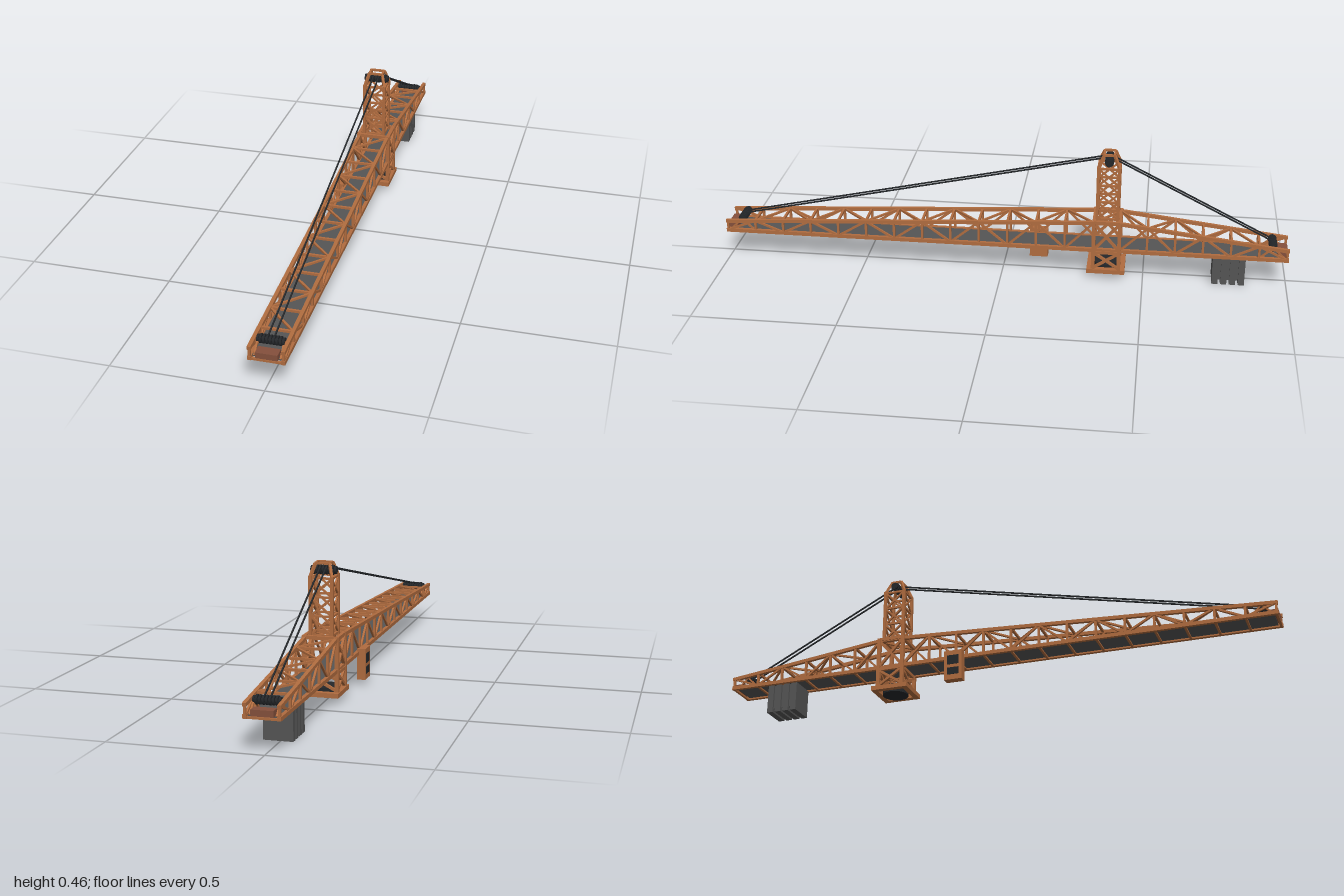
import * as THREE from 'three';
import { mergeGeometries } from 'three/addons/utils/BufferGeometryUtils.js';

const paint = (name, color) => Object.assign(new THREE.MeshStandardMaterial({ color }), { name });

export function createModel() {
  const orange = paint('orange steel', 0xb06c3f);
  const rust = paint('rust brown', 0x84503c);
  const grey = paint('dark grey', 0x555555);
  const black = paint('near black', 0x24272a);
  const root = new THREE.Group();
  root.name = 'craneTop';
  // Everything but the cab is symmetrical about this inner group's centre plane
  const crane = new THREE.Group();
  crane.name = 'crane';
  crane.position.x = 0.0075;
  root.add(crane);

  const V = (x, y, z) => new THREE.Vector3(x, y, z);
  const helper = new THREE.Object3D();
  // Straight bar between two points, square or flat in section
  const bar = (a, b, w, h = w) => {
    const g = new THREE.BoxGeometry(w, h, a.distanceTo(b));
    helper.position.copy(a);
    helper.lookAt(b);
    helper.position.lerpVectors(a, b, 0.5);
    helper.updateMatrix();
    return g.applyMatrix4(helper.matrix);
  };
  const box = (w, h, d, x, y, z) => new THREE.BoxGeometry(w, h, d).translate(x, y, z);
  const drum = (r, len, x, y, z, n = 14) =>
    new THREE.CylinderGeometry(r, r, len, n).rotateZ(Math.PI / 2).translate(x, y, z);
  const part = (name, geos, mat, parent = crane) => {
    const m = new THREE.Mesh(mergeGeometries(geos), mat);
    m.name = name;
    parent.add(m);
    return m;
  };

  const zF = -0.324, zB = -0.414, zM = -0.369;
  const low = 0.111, tip = 0.146, peak = 0.216, hx = 0.053;
  const topY = z => z > zF ? tip + (peak - tip) * (1 - z) / (1 - zF)
    : z < zB ? tip + (peak - tip) * (z + 1) / (zB + 1) : peak;

  // Chords of the jib and counter-jib
  const chords = [];
  for (const s of [-1, 1]) {
    chords.push(box(0.012, 0.013, 2, s * hx, low, 0));
    const p = [1, zF, zB, -1].map(z => V(s * hx, topY(z), z));
    for (let i = 0; i < 3; i++) chords.push(bar(p[i], p[i + 1], 0.012));
  }
  part('jibChords', chords, orange);

  // Lattice: posts, side diagonals, top braces and floor ribs
  const lattice = [];
  const stations = [];
  for (let i = 0; i <= 13; i++) stations.push(0.994 + (zF - 0.994) * i / 13);
  for (let i = 0; i <= 6; i++) stations.push(zB + (-0.994 - zB) * i / 6);
  stations.forEach((z, i) => {
    const y = topY(z);
    for (const s of [-1, 1]) lattice.push(bar(V(s * hx, low, z), V(s * hx, y, z), 0.008));
    lattice.push(box(2 * hx, 0.007, 0.008, 0, low - 0.003, z));
    if (Math.abs(z) < 0.9) lattice.push(box(2 * hx, 0.008, 0.008, 0, y, z));
    if (i === stations.length - 1) return;
    const z2 = stations[i + 1], y2 = topY(z2);
    for (const s of [-1, 1]) {
      const up = (i % 2 === 0) === (s > 0);
      lattice.push(bar(V(s * hx, up ? low : y, z), V(s * hx, up ? y2 : low, z2), 0.007));
    }
    if (Math.abs(z) < 0.9 && Math.abs(z2) < 0.95 && z !== zF) {
      const s = i % 2 ? 1 : -1;
      lattice.push(bar(V(s * hx, y, z), V(-s * hx, y2, z2), 0.007));
    }
  });
  part('jibLattice', lattice, orange);
  part('jibFloor', [box(0.094, 0.005, 1.97, 0, 0.1125, 0)], grey);

  // Sheaves on an axle, used at both jib ends and the mast head
  const sheaves = (name, y, z, r, axle) => {
    const geos = [drum(r * 0.45, axle, 0, y, z)];
    for (let i = -3; i <= 3; i++) geos.push(drum(r, 0.006, i * 0.0105, y, z));
    for (const s of [-1, 1]) geos.push(drum(r * 0.8, 0.007, s * (axle / 2 - 0.004), y, z));
    part(name, geos, black);
  };

  // Jib ends
  for (const s of [-1, 1]) {
    part('endBlock', [box(0.07, 0.02, 0.035, 0, 0.123, s * 0.98)], rust);
    const brackets = [];
    for (const t of [-1, 1]) {
      brackets.push(bar(V(t * 0.041, 0.113, s * 0.985), V(t * 0.041, 0.15, s * 0.945), 0.006));
      brackets.push(bar(V(t * 0.041, 0.113, s * 0.905), V(t * 0.041, 0.15, s * 0.945), 0.006));
    }
    part('sheaveBracket', brackets, orange);
    sheaves('endSheaves', 0.15, s * 0.945, 0.015, 0.088);
  }

  // Cross bracing between two posts a and b over a height range
  const cross = (a, b, y1, y2, w) => [
    bar(V(a[0], y1, a[1]), V(b[0], y2, b[1]), w),
    bar(V(a[0], y2, a[1]), V(b[0], y1, b[1]), w),
  ];
  const ring = (x, d) => [[x, zM + d], [x, zM - d], [-x, zM - d], [-x, zM + d]];

  // Lower tower section, with its base frame
  const tower = [];
  const feet = ring(0.056, 0.045);
  feet.forEach((a, i) => {
    const b = feet[(i + 1) % 4];
    tower.push(bar(V(a[0], 0.03, a[1]), V(a[0], 0.224, a[1]), 0.013));
    tower.push(bar(V(a[0], 0.104, a[1]), V(b[0], 0.104, b[1]), 0.011));
    tower.push(bar(V(a[0], 0.219, a[1]), V(b[0], 0.219, b[1]), 0.011));
    tower.push(...cross(a, b, 0.042, 0.102, 0.009));
    if (i % 2 === 0) tower.push(...cross(a, b, 0.112, 0.215, 0.009));
  });
  part('towerSection', tower, orange);
  const base = [];
  for (const s of [-1, 1]) {
    base.push(box(0.131, 0.016, 0.02, 0, 0.032, zM + s * 0.057));
    base.push(box(0.02, 0.0155, 0.114, s * 0.0555, 0.032, zM));
  }
  part('baseFrame', base, orange);
  part('slewingRing', [
    new THREE.CylinderGeometry(0.046, 0.046, 0.03, 16).translate(0, 0.035, zM),
  ], black);

  // Upper mast with three braced bays and a tapered head
  const mast = [];
  const legs = ring(0.0365, 0.036), head = ring(0.024, 0.018);
  legs.forEach((a, i) => {
    const b = legs[(i + 1) % 4], h = head[i], h2 = head[(i + 1) % 4];
    mast.push(bar(V(a[0], 0.215, a[1]), V(a[0], 0.42, a[1]), 0.0105));
    mast.push(bar(V(a[0], 0.417, a[1]), V(h[0], 0.46, h[1]), 0.009));
    mast.push(bar(V(h[0], 0.46, h[1]), V(h2[0], 0.46, h2[1]), 0.0075));
    for (let k = 0; k < 4; k++) {
      const y = 0.225 + k * 0.063;
      mast.push(bar(V(a[0], y, a[1]), V(b[0], y, b[1]), 0.007));
      if (k < 3) mast.push(...cross(a, b, y, y + 0.063, 0.006));
    }
  });
  part('mast', mast, orange);
  sheaves('mastSheaves', 0.437, zM, 0.016, 0.088);

  // Stay cables from the mast head to both jib ends
  const cables = [];
  for (const s of [-1, 1]) for (const x of [-0.01, 0.01])
    cables.push(bar(V(x, 0.447, zM + s * 0.008), V(x, 0.16, s * 0.945), 0.0045));
  part('stayCables', cables, black);

  // Counterweight slabs under the rear
  const slabs = [];
  for (let i = 0; i < 4; i++) slabs.push(box(0.095, 0.105, 0.022, 0, 0.0525, -0.752 - i * 0.0305));
  slabs.push(box(0.08, 0.09, 0.09, 0, 0.06, -0.798));
  part('counterweights', slabs, grey);

  // Operator cab hung on the right side
  const cab = new THREE.Group();
  cab.name = 'cab';
  root.add(cab);
  part('cabBody', [box(0.029, 0.109, 0.065, -0.06, 0.0725, -0.122)], orange, cab);
  part('cabWindows', [
    box(0.003, 0.034, 0.042, -0.0742, 0.092, -0.122),
    box(0.003, 0.026, 0.042, -0.0742, 0.05, -0.122),
  ], black, cab);
  return root;
}
